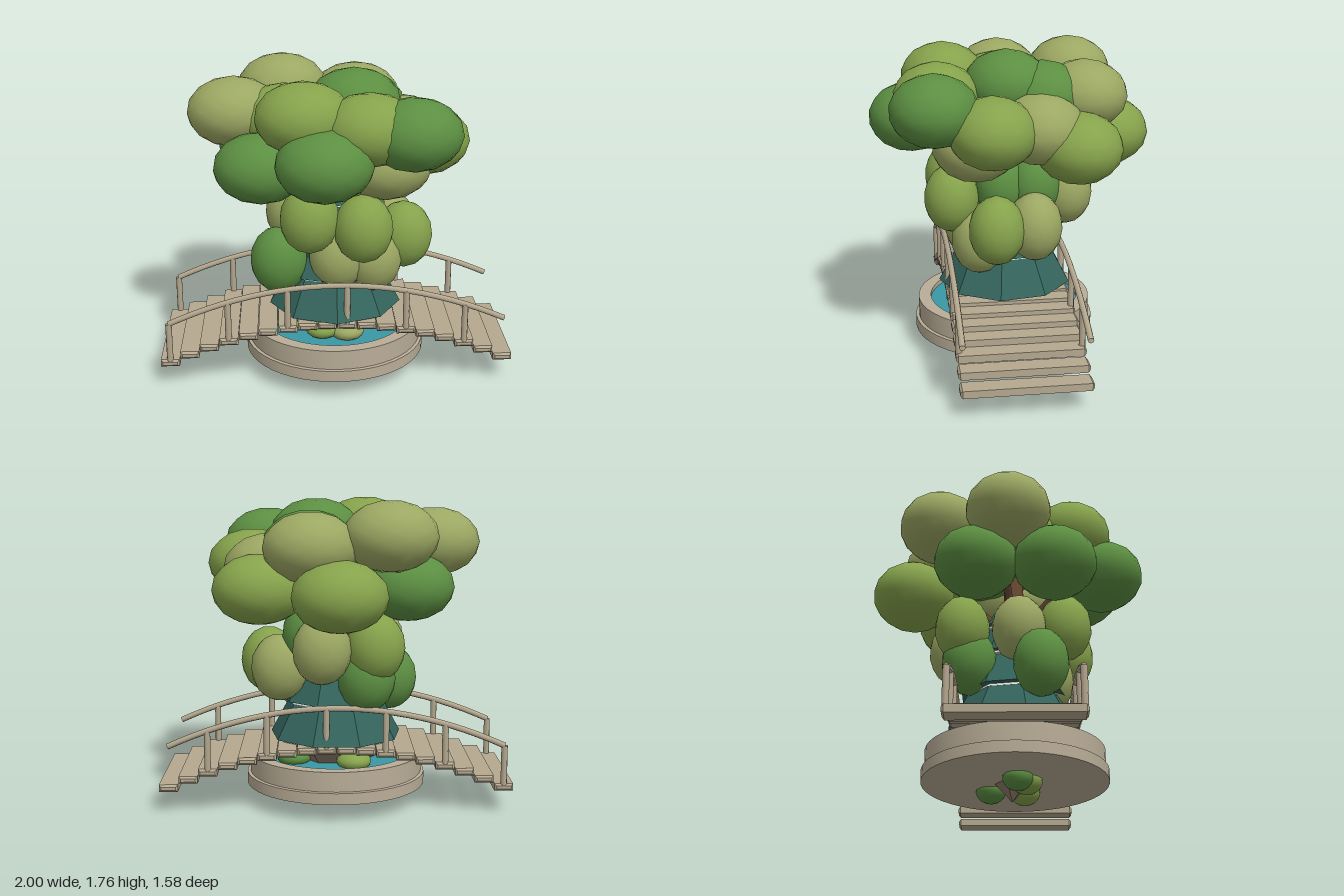
import * as THREE from 'three';
import { toCreasedNormals } from 'three/addons/utils/BufferGeometryUtils.js';

const mat = (color, extra = {}) => new THREE.MeshStandardMaterial({ color, ...extra });
const WOOD = mat(0xb5a88f), STONE = mat(0xb9ad97), WATER = mat(0x3a98a6);
const ROCK = mat(0x8c7a6a, { flatShading: true }), BARK = mat(0x6b4a35);
const TEAL = mat(0x34655d, { flatShading: true }), SNOW = mat(0xe6e2d8);
const LEAF = { g: mat(0x5c8f42), m: mat(0x86a34c), o: mat(0x9ca863) };
const CZ = 0.035; // depth of the shared centre line

function add(parent, name, geo, material, x = 0, y = 0, z = 0) {
  const mesh = new THREE.Mesh(geo, material);
  mesh.name = name;
  mesh.position.set(x, y, z);
  parent.add(mesh);
  return mesh;
}

// Straight round bar between two points
function bar(parent, name, a, b, r0, r1, material) {
  const from = new THREE.Vector3(...a), dir = new THREE.Vector3(...b).sub(from);
  const mesh = add(parent, name, new THREE.CylinderGeometry(r1, r0, dir.length(), 8), material);
  mesh.position.copy(from).addScaledVector(dir, 0.5);
  mesh.quaternion.setFromUnitVectors(new THREE.Vector3(0, 1, 0), dir.normalize());
}

function buildPond() {
  const pond = new THREE.Group();
  pond.name = 'pond';
  const profile = [[0, 0.11], [0.52, 0.11], [0.52, 0.175], [0.502, 0.178], [0.502, 0.29],
    [0.43, 0.29], [0.43, 0.22], [0, 0.22]].map(p => new THREE.Vector2(...p));
  add(pond, 'basin', toCreasedNormals(new THREE.LatheGeometry(profile, 48), 0.5), STONE, 0, 0, CZ);
  add(pond, 'water', new THREE.CylinderGeometry(0.43, 0.43, 0.03, 48), WATER, 0, 0.25, CZ);
  return pond;
}

function buildBridge() {
  const bridge = new THREE.Group();
  bridge.name = 'bridge';
  const deckY = x => 0.37 - 0.241 * x * x;
  // Planks with bevelled edges
  const b = 0.012, w = 0.053 - b, h = 0.021 - b;
  const section = new THREE.Shape([[-w, -h], [w, -h], [w, h], [-w, h]].map(p => new THREE.Vector2(...p)));
  const plank = new THREE.ExtrudeGeometry(section, {
    depth: 0.7 - 2 * b, bevelThickness: b, bevelSize: b, bevelSegments: 1,
  }).translate(0, 0, -0.35 + b);
  const plankX = i => -0.945 + (i * 1.89) / 17;
  for (let i = 0; i < 18; i++) add(bridge, 'plank', plank, WOOD, plankX(i), deckY(plankX(i)), CZ);
  // A curved handrail on posts along each side
  for (const z of [CZ - 0.332, CZ + 0.332]) {
    const points = [];
    for (let i = 0; i < 18; i++) points.push(new THREE.Vector3(plankX(i), deckY(plankX(i)) + 0.24, z));
    const curve = new THREE.CatmullRomCurve3(points);
    add(bridge, 'handrail', new THREE.TubeGeometry(curve, 24, 0.017, 8), WOOD);
    for (const [end, turn] of [[points[0], -1], [points[17], 1]]) {
      const cap = add(bridge, 'railEnd', new THREE.CircleGeometry(0.017, 8), WOOD, ...end.toArray());
      cap.rotation.y = turn * Math.PI / 2;
    }
    for (let i = 0; i < 18; i += 3) {
      const x = plankX(i);
      bar(bridge, 'post', [x, deckY(x), z], [x, deckY(x) + 0.24, z], 0.018, 0.018, WOOD);
    }
  }
  return bridge;
}

// Clump of leaves: centre, radii and shade
function clump(parent, [x, y, z, shade], rx, ry, rz) {
  const mesh = add(parent, 'leafClump', new THREE.IcosahedronGeometry(1, 2), LEAF[shade], x, y, z);
  mesh.scale.set(rx, ry, rz);
  mesh.rotation.y = 0;
}

function buildIsland() {
  const island = new THREE.Group();
  island.name = 'island';
  const rock = new THREE.CylinderGeometry(0.33, 0.07, 0.28, 7).translate(0, 0.23, 0);
  add(island, 'rock', rock, ROCK, 0, 0, 0.03);
  add(island, 'rockTip', new THREE.ConeGeometry(0.11, 0.12, 5).rotateX(Math.PI), ROCK, 0, 0.065, 0.02);
  // Bushes around the rock, above the water and below the basin
  for (const c of [[-0.08, 0.31, 0.27, 'm'], [0.06, 0.3, 0.28, 'o'], [-0.26, 0.29, 0.1, 'm'],
    [0.24, 0.29, -0.12, 'g'], [-0.1, 0.29, -0.22, 'm']]) clump(island, c, 0.1, 0.055, 0.1);
  for (const c of [[-0.14, 0.1, 0.05, 'g'], [0.13, 0.1, 0.09, 'm'], [0.13, 0.11, -0.1, 'g'],
    [-0.07, 0.1, 0.1, 'm']]) clump(island, c, 0.095, 0.07, 0.085);
  return island;
}

function buildTree() {
  const tree = new THREE.Group();
  tree.name = 'tree';
  bar(tree, 'trunk', [0, 0.3, 0.03], [0, 1.45, 0.03], 0.1, 0.05, BARK);
  // Stacked cone skirts, each over a pale layer
  for (const [y, r, top, h] of [[0.395, 0.385, 0.25, 0.25], [0.61, 0.31, 0.18, 0.26],
    [0.83, 0.26, 0.13, 0.25], [1.03, 0.2, 0.02, 0.25]]) {
    add(tree, 'skirt', new THREE.CylinderGeometry(top, r, h, 9), TEAL, 0, y + h / 2, 0.03);
    add(tree, 'paleLayer', new THREE.CylinderGeometry(r * 0.86, r * 0.9, 0.02, 9), SNOW, 0, y - 0.006, 0.03);
  }
  // Branches reaching into the crown
  for (let i = 0; i < 6; i++) {
    const a = (i * Math.PI) / 3 + 0.05, c = Math.cos(a), s = Math.sin(a);
    bar(tree, 'branch', [c * 0.05, 1.0, 0.03 + s * 0.05], [c * 0.4, 1.28, s * 0.4], 0.028, 0.016, BARK);
  }

  const crown = new THREE.Group();
  crown.name = 'crown';
  for (const c of [
    [-0.29, 1.57, -0.39, 'o'], [0.14, 1.51, -0.4, 'o'], [-0.015, 1.265, -0.56, 'm'],
    [0.42, 1.28, -0.32, 'm'], [0.37, 1.38, -0.12, 'o'], [0.48, 1.39, 0.15, 'm'],
    [0.4, 1.5, 0.45, 'g'], [0.17, 1.52, 0.42, 'm'], [-0.18, 1.57, 0.36, 'm'],
    [-0.075, 1.365, 0.55, 'g'], [-0.41, 1.27, 0.26, 'g'], [-0.56, 1.52, 0, 'o'],
    [-0.28, 1.49, 0.05, 'm'], [0.11, 1.57, 0.03, 'g'], [0.15, 1.51, -0.17, 'g'],
    [-0.4, 1.28, -0.18, 'g'], [0.27, 1.27, 0.22, 'o'],
  ]) clump(crown, c, 0.262, 0.195, 0.24);
  tree.add(crown);

  const lower = new THREE.Group();
  lower.name = 'lowerLeaves';
  for (const c of [
    [-0.15, 0.99, 0.32, 'm'], [0.145, 0.94, 0.345, 'm'], [-0.32, 0.7, 0.18, 'g'],
    [0.39, 0.82, 0.12, 'm'], [0.01, 0.73, 0.22, 'o'], [0.21, 0.71, 0.2, 'o'],
    [-0.23, 0.95, 0.06, 'o'], [0.32, 0.81, -0.1, 'o'], [0.14, 1.0, -0.12, 'g'],
    [0.12, 1.0, 0.06, 'g'], [0.08, 0.94, -0.31, 'o'], [-0.22, 0.95, -0.26, 'm'],
    [-0.17, 0.77, -0.22, 'g'],
  ]) clump(lower, c, 0.165, 0.195, 0.155);
  tree.add(lower);
  return tree;
}

export function createModel() {
  const model = new THREE.Group();
  model.name = 'gardenTreeWithBridge';
  model.add(buildPond(), buildBridge(), buildIsland(), buildTree());
  return model;
}
